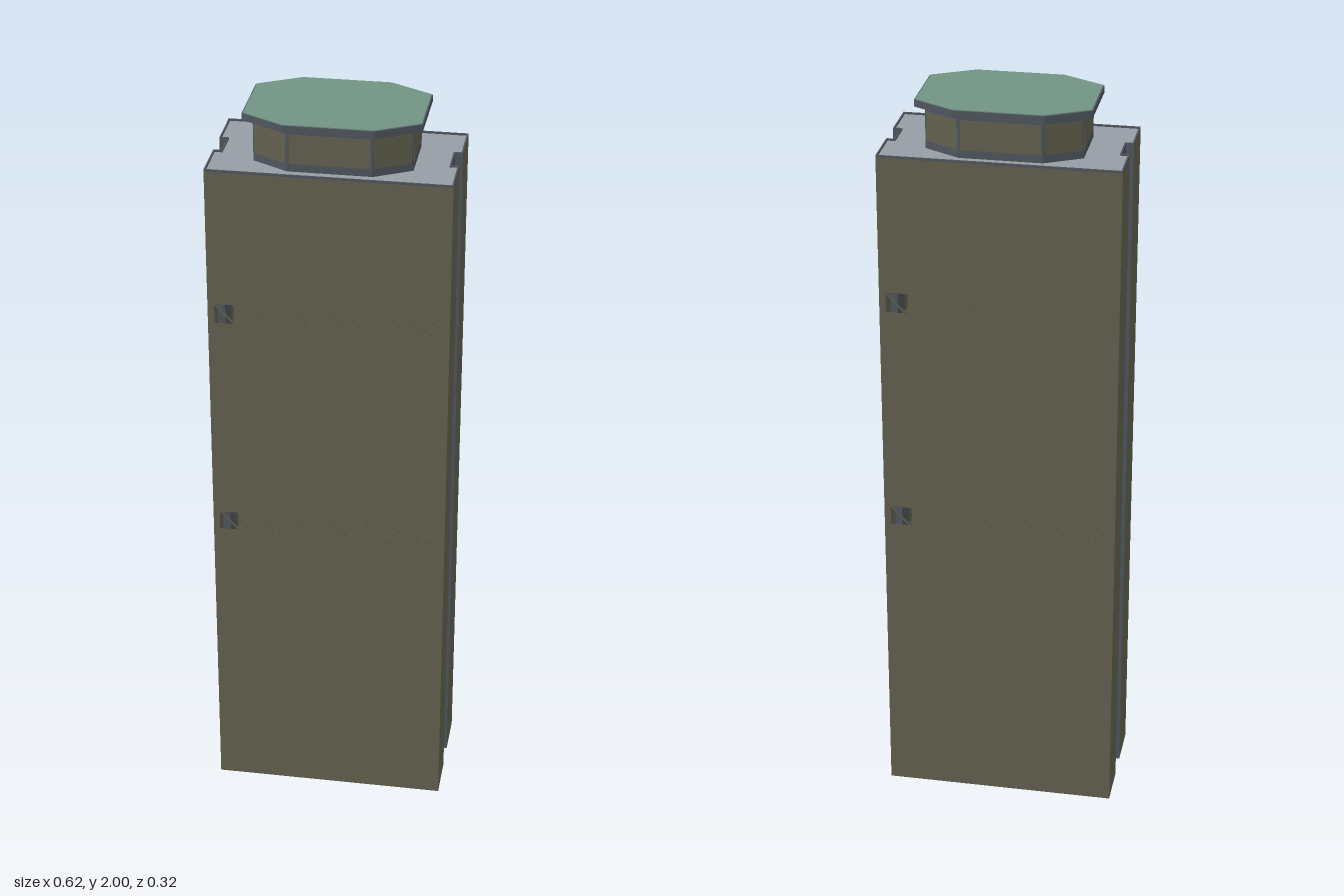
import * as THREE from 'three';

const mat = (name, color) => {
  const m = new THREE.MeshStandardMaterial({ color, side: THREE.DoubleSide });
  m.name = name;
  return m;
};

export function createModel() {
  const olive = mat('olive wall', 0x62614f);
  const slate = mat('slate trim', 0x50565f);
  const grey = mat('grey roof deck', 0x959da5);
  const green = mat('green roof', 0x719484);

  const group = new THREE.Group();
  group.name = 'tower';
  const add = (name, geo, material, x = 0, y = 0, z = 0, parent = group) => {
    const m = new THREE.Mesh(geo, material);
    m.name = name;
    m.position.set(x, y, z);
    parent.add(m);
    return m;
  };

  const W = 0.312, D = 0.162, H = 1.87, RIM = 0.006;
  const NX = 0.292, NZ = 0.038; // side groove
  const wallH = H - RIM;
  const slots = [[0.82, 0.873], [1.443, 1.497]];
  const SX = 0.295;

  // Footprint with a groove in each end, optionally inset
  const footprint = (d, Ctor) => {
    const w = W - d, dd = D - d, nx = NX - d, nz = NZ + d;
    return new Ctor([
      [-w, -dd], [w, -dd], [w, -nz], [nx, -nz], [nx, nz], [w, nz], [w, dd],
      [-w, dd], [-w, nz], [-nx, nz], [-nx, -nz], [-w, -nz],
    ].map(([x, z]) => new THREE.Vector2(x, z)));
  };

  // Broad walls with two open slots, braced by a zigzag lattice
  const wall = new THREE.Shape([[-W, 0], [W, 0], [W, wallH], [-W, wallH]]
    .map(p => new THREE.Vector2(...p)));
  for (const [a, b] of slots) {
    wall.holes.push(new THREE.Path([[-SX, a], [-SX, b], [SX, b], [SX, a]]
      .map(p => new THREE.Vector2(...p))));
  }
  const wallGeo = new THREE.ShapeGeometry(wall);
  for (const s of [1, -1]) {
    const side = new THREE.Group();
    side.name = s > 0 ? 'frontWall' : 'backWall';
    side.rotation.y = s > 0 ? 0 : Math.PI;
    group.add(side);
    add('wallPanel', wallGeo, olive, 0, 0, D, side);
    for (const [a, b] of slots) {
      const n = 12, step = 2 * SX / n, h = b - a;
      const barGeo = new THREE.BoxGeometry(Math.hypot(step, h), 0.004, 0.004);
      for (let i = 0; i < n; i++) {
        const bar = add('latticeBar', barGeo, olive, -SX + (i + 0.5) * step, (a + b) / 2, D - 0.003, side);
        bar.rotation.z = Math.atan2(h, step) * (i % 2 ? 1 : -1);
      }
    }
  }

  // Narrow end walls and their slate grooves
  for (const s of [1, -1]) {
    const side = s > 0 ? 'left' : 'right';
    for (const t of [1, -1]) {
      const end = add(side + 'EndWall', new THREE.PlaneGeometry(D - NZ, wallH), olive,
        s * W, wallH / 2, t * (D + NZ) / 2);
      end.rotation.y = s * Math.PI / 2;
      const cheek = add(side + 'GrooveCheek', new THREE.PlaneGeometry(W - NX, wallH), slate,
        s * (W + NX) / 2, wallH / 2, t * NZ);
      cheek.rotation.y = t > 0 ? Math.PI : 0;
    }
    const back = add(side + 'GrooveBack', new THREE.PlaneGeometry(2 * NZ, wallH), slate, s * NX, wallH / 2, 0);
    back.rotation.y = s * Math.PI / 2;
  }

  // Rim around the top and the recessed deck
  const rim = footprint(0, THREE.Shape);
  rim.holes.push(footprint(0.004, THREE.Path));
  add('rim', new THREE.ExtrudeGeometry(rim, { depth: RIM, bevelEnabled: false }).rotateX(-Math.PI / 2),
    slate, 0, wallH, 0);
  add('deck', new THREE.ShapeGeometry(footprint(0.002, THREE.Shape)).rotateX(-Math.PI / 2),
    grey, 0, wallH + 0.001, 0);

  // Elongated octagon: outer half sizes (w, d), flat half lengths (fx, fz)
  const octagon = (w, d, fx, fz) => [
    [w, -fz], [w, fz], [fx, d], [-fx, d], [-w, fz], [-w, -fz], [-fx, -d], [fx, -d],
  ].map(([x, z]) => new THREE.Vector2(x, z));
  const prism = (pts, h) => new THREE.ExtrudeGeometry(new THREE.Shape(pts),
    { depth: h, bevelEnabled: false }).rotateX(-Math.PI / 2);

  // Penthouse: slate frame with an olive panel on each face
  const core = octagon(0.202, 0.13, 0.107, 0.077);
  const y0 = wallH + 0.001, y1 = 1.98;
  add('penthouseFrame', prism(core, y1 - y0), slate, 0, y0, 0);
  core.forEach((p, i) => {
    const q = core[(i + 1) % core.length];
    const mx = (p.x + q.x) / 2, mz = (p.y + q.y) / 2;
    const nx = q.y - p.y, nz = p.x - q.x, len = Math.hypot(nx, nz);
    const panel = add('penthousePanel', new THREE.BoxGeometry(len - 0.01, 0.078, 0.002), olive,
      mx, 1.925, mz);
    panel.rotation.y = Math.atan2(nx, nz);
  });

  // Overhanging roof slab with a green top
  const roof = octagon(0.226, 0.157, 0.115, 0.095);
  add('roofSlab', prism(roof, 0.018), slate, 0, 1.98, 0);
  add('roofTop', prism(octagon(0.223, 0.154, 0.114, 0.094), 0.002), green, 0, 1.998, 0);

  return group;
}
